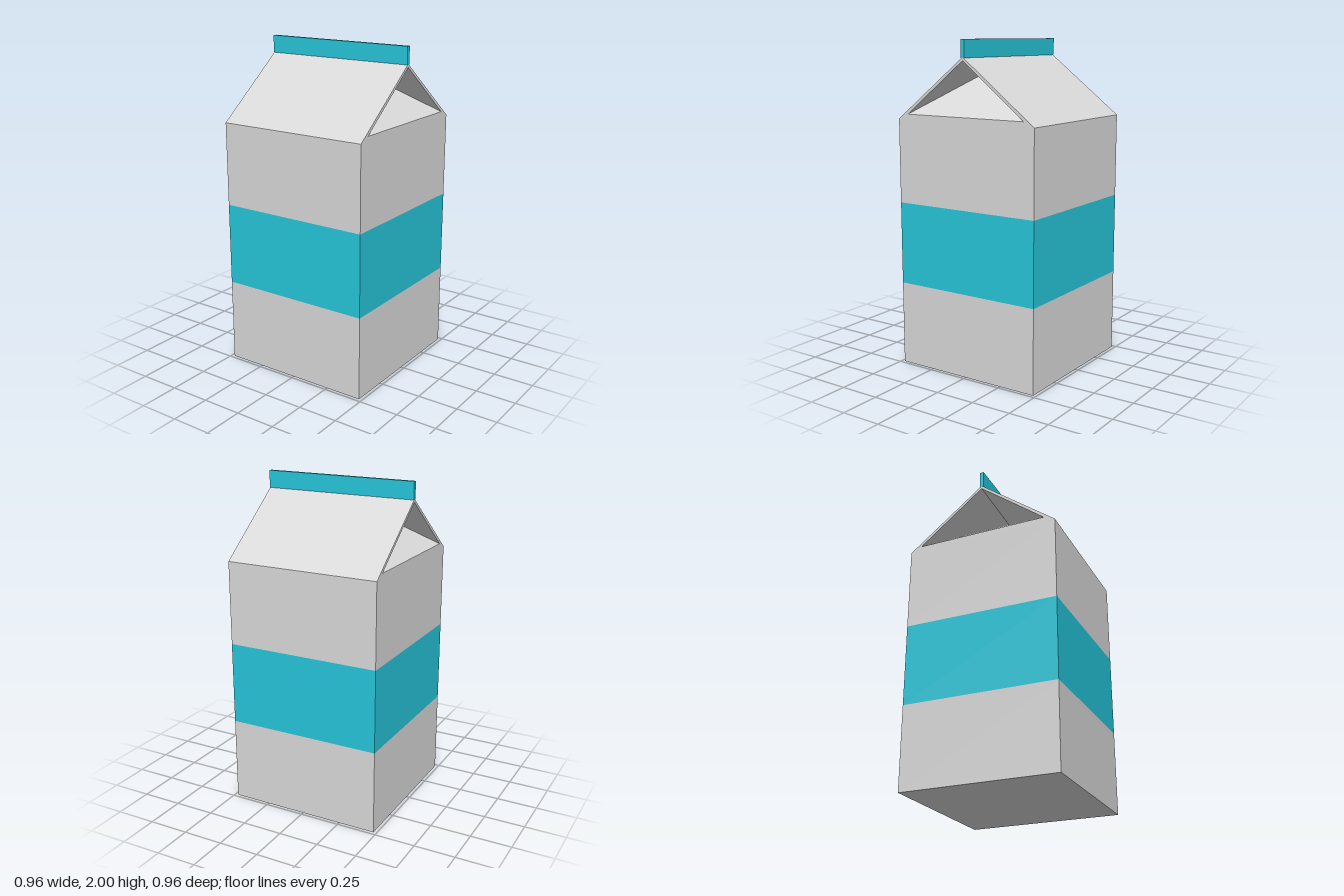
import * as THREE from 'three';

const H = 0.48;       // half width of the carton
const EAVE = 1.53, RIDGE = 1.9;

// Flat-shaded surface from a list of triangles given as corner points
function facets(triangles) {
  const g = new THREE.BufferGeometry();
  g.setAttribute('position', new THREE.Float32BufferAttribute(triangles.flat(2), 3));
  g.computeVertexNormals();
  return g;
}

export function createModel() {
  const model = new THREE.Group();
  model.name = 'carton';
  const card = new THREE.MeshStandardMaterial({ color: 0xd9d9d9 });
  card.name = 'pale grey card';
  const cyan = new THREE.MeshStandardMaterial({ color: 0x26c6da });
  cyan.name = 'cyan';

  const add = (name, geometry, material, parent = model) => {
    const mesh = new THREE.Mesh(geometry, material);
    mesh.name = name;
    parent.add(mesh);
    return mesh;
  };
  const block = (name, y0, y1, depth, material) => {
    add(name, new THREE.BoxGeometry(2 * H, y1 - y0, depth), material).position.y = (y0 + y1) / 2;
  };

  // Square body in three flush bands, and the sealed fin on the ridge
  block('lowerBody', 0, 0.515, 2 * H, card);
  block('colourBand', 0.515, 1.02, 2 * H, cyan);
  block('upperBody', 1.02, EAVE, 2 * H, card);
  block('topFin', RIDGE - 0.005, 2, 0.024, cyan);

  // Sloping roof panels, front and back
  const slope = facets([
    [[-H, EAVE, H], [H, EAVE, H], [H, RIDGE, 0]],
    [[-H, EAVE, H], [H, RIDGE, 0], [-H, RIDGE, 0]],
  ]);
  add('frontRoof', slope, card);
  add('backRoof', slope, card).rotation.y = Math.PI;

  // Gable rim with a triangular opening
  const rim = new THREE.Shape([[-H, EAVE], [H, EAVE], [0, RIDGE]].map(p => new THREE.Vector2(...p)));
  rim.holes.push(new THREE.Path([[-0.41, 1.56], [0, 1.88], [0.41, 1.56]].map(p => new THREE.Vector2(...p))));
  const rimGeometry = new THREE.ShapeGeometry(rim);

  // Folded-in panel and the undersides of the roof above it
  const A = [-0.41, 1.56, 0], B = [0.41, 1.56, 0], C = [0, 1.88, 0], P = [0, 1.86, -0.42];
  const foldGeometry = facets([[A, B, P], [A, P, C], [B, C, P]]);

  for (const [name, side] of [['leftGable', 1], ['rightGable', -1]]) {
    const gable = new THREE.Group();
    gable.name = name;
    gable.position.x = side * H;
    gable.rotation.y = side * Math.PI / 2;
    add('gableRim', rimGeometry, card, gable);
    add('gableFold', foldGeometry, card, gable);
    model.add(gable);
  }
  return model;
}
